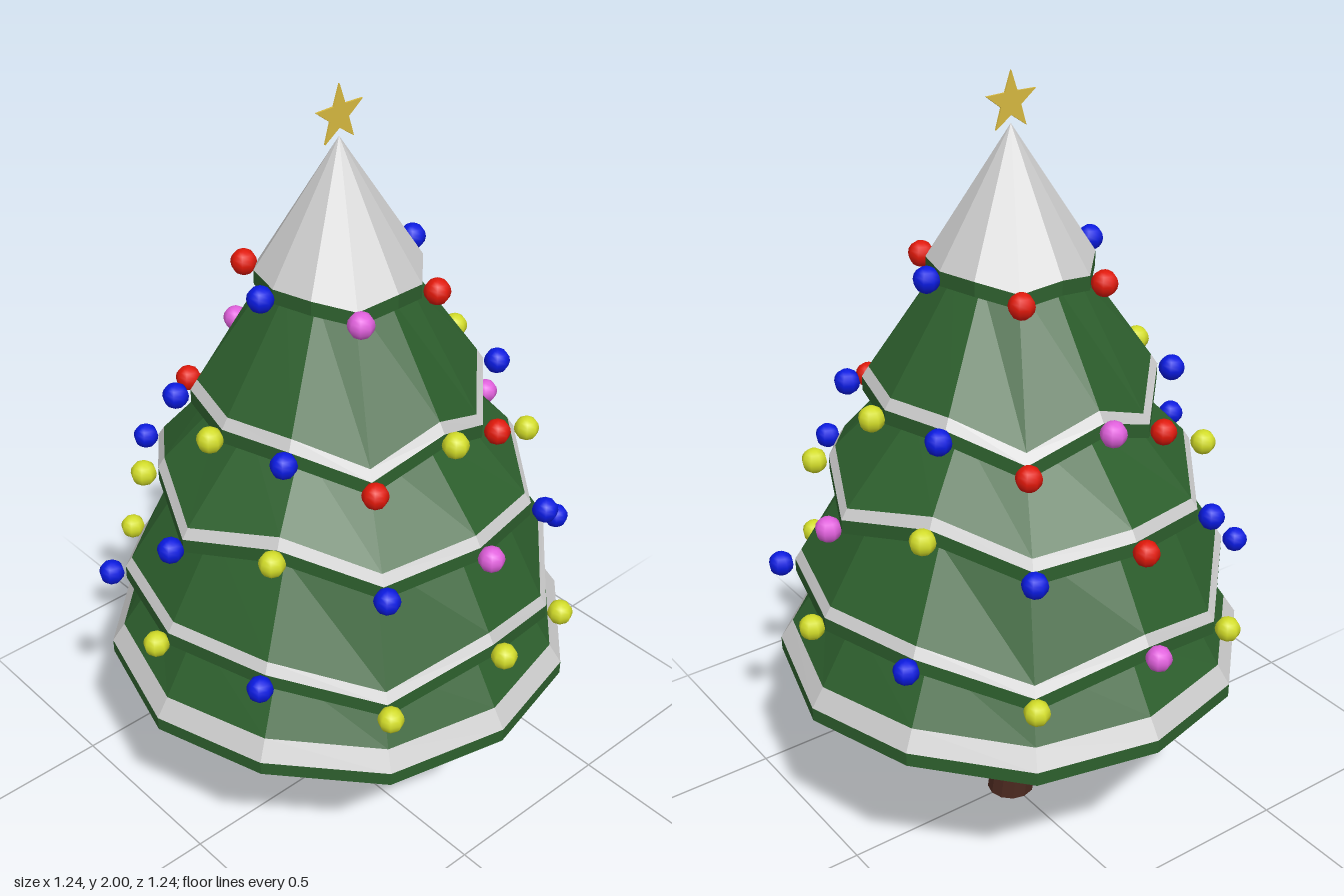
import * as THREE from 'three';

const SIDES = 12;
const mat = (color, flatShading = true) =>
  new THREE.MeshStandardMaterial({ color, flatShading, side: THREE.DoubleSide });
const green = mat(0x2d5f2d), white = mat(0xcccccc), bark = mat(0x4d2a20), gold = mat(0xd6b840);
const ballMats = {
  y: mat(0xd2dc28, false), b: mat(0x0a1ae0, false), r: mat(0xe0180a, false), p: mat(0xe060dc, false),
};

// Skin a list of rings (top to bottom), each an array of points
function loft(rings, material, name) {
  const pos = [];
  for (let i = 0; i < rings.length - 1; i++) {
    const n = rings[i].length;
    for (let k = 0; k < n; k++) {
      const a = rings[i][k], b = rings[i][(k + 1) % n];
      const c = rings[i + 1][k], d = rings[i + 1][(k + 1) % n];
      for (const v of [a, c, d, a, d, b]) pos.push(v.x, v.y, v.z);
    }
  }
  const geo = new THREE.BufferGeometry();
  geo.setAttribute('position', new THREE.Float32BufferAttribute(pos, 3));
  geo.computeVertexNormals();
  const mesh = new THREE.Mesh(geo, material);
  mesh.name = name;
  return mesh;
}

// Ring whose radius and height may vary per corner; corner 0 faces the front
function ring(radius, height, cx = 0, cz = 0) {
  const at = (v, k) => (typeof v === 'function' ? v(k) : v);
  return Array.from({ length: SIDES }, (_, k) => {
    const a = (k / SIDES) * Math.PI * 2, r = at(radius, k);
    return new THREE.Vector3(cx + r * Math.sin(a), at(height, k), cz + r * Math.cos(a));
  });
}

// Hem values are listed for 0, 30, 60 and 90 degrees and mirrored to all corners
const mirrored = (list) => (k) => list[k % 6 <= 3 ? k % 6 : 6 - (k % 6)];

// top: [radius, height]; r, y: hem corners; band: strip height; balls: colours round the hem
const TIERS = [
  { name: 'cap', top: [0, 1.88], r: [0.2, 0.2, 0.2, 0.2], y: [1.565, 1.545, 1.57, 1.57], band: 0, balls: '-r-b-r-r-b-p' },
  { name: 'upperTier', top: [0.16, 1.555], r: [0.36, 0.36, 0.36, 0.36], y: [1.27, 1.195, 1.27, 1.265], band: 0.026, balls: 'yrbybrprbybr' },
  { name: 'middleTier', top: [0.28, 1.24], r: [0.49, 0.49, 0.45, 0.49], y: [1.02, 0.995, 1.06, 1.015], band: 0.026, balls: 'pbypybrbybyb' },
  { name: 'lowerTier', top: [0.4, 1.0], r: [0.55, 0.55, 0.55, 0.55], y: [0.765, 0.69, 0.77, 0.765], band: 0.026, balls: 'yybybypybyby' },
  { name: 'bottomTier', top: [0.47, 0.73], r: [0.6, 0.6, 0.6, 0.6], y: [0.525, 0.515, 0.535, 0.52], band: 0.05, balls: '' },
];

function makeTier(tier, next) {
  const g = new THREE.Group();
  g.name = tier.name;
  const r = mirrored(tier.r), y = mirrored(tier.y);
  const top = ring(tier.top[0], tier.top[1]);
  const hem = ring(r, y);
  const bandTop = ring((k) => r(k) - tier.band * 0.65, (k) => y(k) + tier.band);
  const inner = next ? ring(next.top[0], next.top[1]) : ring(0, 0.5);
  const rim = ring(r, (k) => y(k) - 0.036);
  if (tier.band) {
    g.add(loft([top, bandTop], green, 'foliage'));
    g.add(loft([bandTop, hem], white, 'snowBand'));
  } else {
    g.add(loft([top, hem], white, 'snowCap'));
  }
  g.add(loft([hem, rim, inner], green, 'rim'));
  return g;
}

// Baubles hang just outside the hem corners
function makeBaubles(tier) {
  const g = new THREE.Group();
  g.name = tier.name + 'Baubles';
  const geo = new THREE.SphereGeometry(0.032, 8, 8);
  const spots = ring((k) => mirrored(tier.r)(k) + 0.036, (k) => mirrored(tier.y)(k) - 0.012);
  [...tier.balls].forEach((c, k) => {
    if (c === '-') return;
    const ball = new THREE.Mesh(geo, ballMats[c]);
    ball.name = 'bauble';
    ball.position.copy(spots[k]);
    g.add(ball);
  });
  return g;
}

function makeStar() {
  const shape = new THREE.Shape();
  for (let i = 0; i < 10; i++) {
    const r = i % 2 ? 0.029 : 0.072, a = (i / 10) * Math.PI * 2;
    shape[i ? 'lineTo' : 'moveTo'](r * Math.sin(a), r * Math.cos(a));
  }
  shape.closePath();
  const geo = new THREE.ExtrudeGeometry(shape, { depth: 0.005, bevelEnabled: false });
  const star = new THREE.Mesh(geo.translate(0, 1.928, -0.0025), gold);
  star.name = 'star';
  return star;
}

export function createModel() {
  const model = new THREE.Group();
  model.name = 'decoratedTree';

  // Slightly crooked trunk, closed at the foot
  model.add(loft([
    ring(0.062, 0.51, 0.002, 0.021),
    ring(0.063, 0.34, 0.012, 0.005),
    ring(0.063, 0.17, -0.012, -0.015),
    ring(0.064, 0),
    ring(0, 0),
  ], bark, 'trunk'));

  TIERS.forEach((tier, i) => {
    model.add(makeTier(tier, TIERS[i + 1]));
    if (tier.balls) model.add(makeBaubles(tier));
  });
  model.add(makeStar());
  return model;
}
